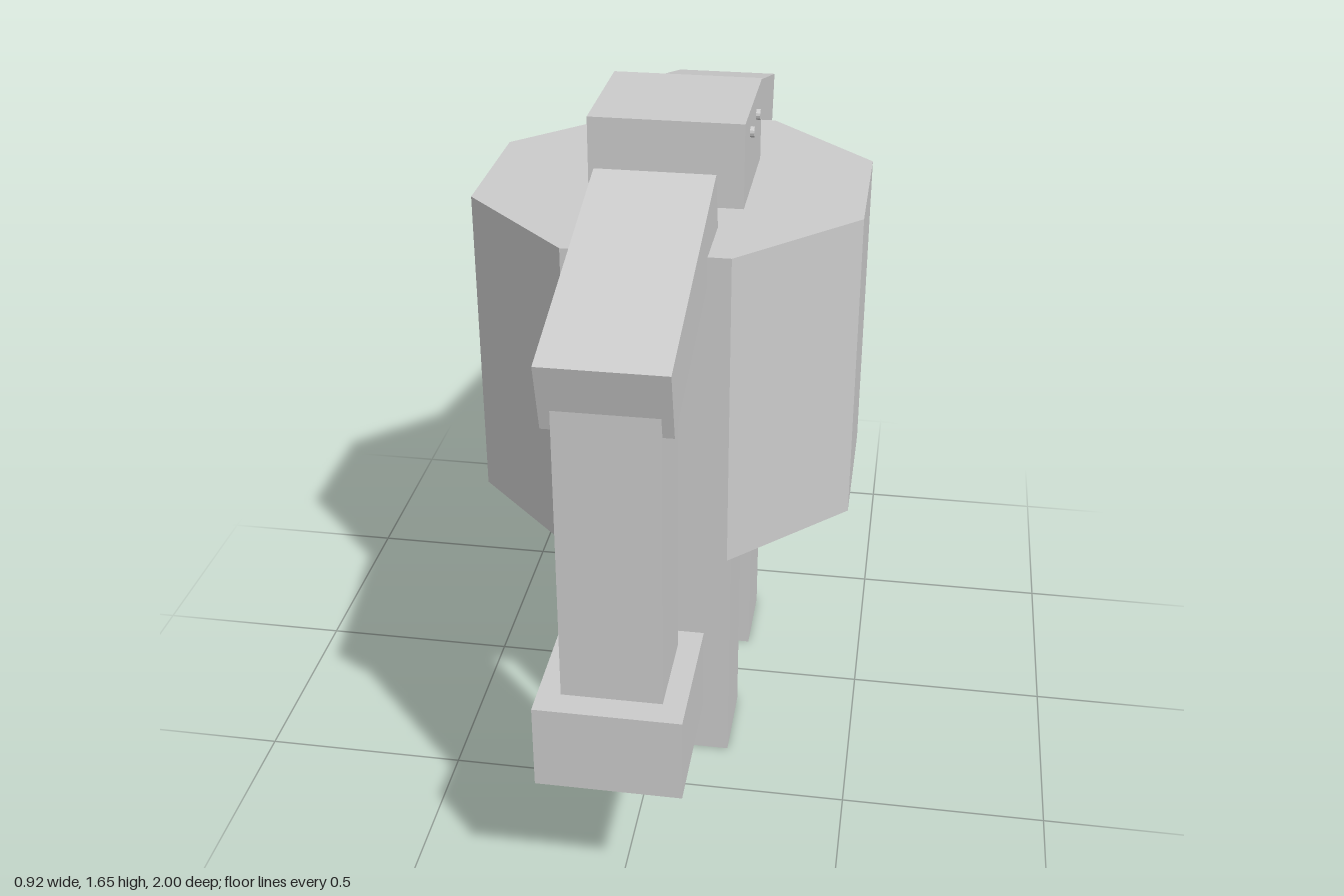
import * as THREE from 'three';

const material = new THREE.MeshStandardMaterial({ color: 0xcccccc, flatShading: true });

function addMesh(parent, name, geometry, x, y, z) {
  const mesh = new THREE.Mesh(geometry, material);
  mesh.name = name;
  mesh.position.set(x, y, z);
  parent.add(mesh);
  return mesh;
}

// Box spanning y0..y1, centred on x = 0 and the given z
function addBlock(parent, name, width, y0, y1, depth, z) {
  return addMesh(parent, name, new THREE.BoxGeometry(width, y1 - y0, depth), 0, (y0 + y1) / 2, z);
}

export function createModel() {
  const model = new THREE.Group();
  model.name = 'blockRobot';

  // Octagonal body with flat sides facing the axes
  const body = new THREE.CylinderGeometry(0.5, 0.5, 0.783, 8, 1, false, Math.PI / 8);
  addMesh(model, 'torso', body, 0, 1.0585, 0);

  // Head, looking along +x
  addBlock(model, 'head', 0.366, 1.45, 1.655, 0.346, 0);

  // Eye pins run through the head and stand proud on its face
  const eye = new THREE.CylinderGeometry(0.013, 0.013, 0.377, 12).rotateZ(Math.PI / 2);
  for (const z of [-0.063, 0.063]) addMesh(model, 'eye', eye, 0.0045, 1.6, z);

  // Arms and legs, mirrored along z
  for (const side of [1, -1]) {
    const arm = new THREE.Group();
    arm.name = side > 0 ? 'frontArm' : 'backArm';
    model.add(arm);

    const upper = new THREE.BoxGeometry(0.276, 0.167, 0.664);
    addMesh(arm, 'upperArm', upper, 0, 1.4225, side * 0.626).rotation.x = side * THREE.MathUtils.degToRad(15);
    addBlock(arm, 'forearm', 0.226, 0.6, 1.4, 0.217, side * 0.83);
    addBlock(arm, 'hand', 0.33, 0.395, 0.6, 0.333, side * 0.8335);

    addBlock(model, side > 0 ? 'frontLeg' : 'backLeg', 0.374, 0, 0.7, 0.215, side * 0.238);
  }

  return model;
}
